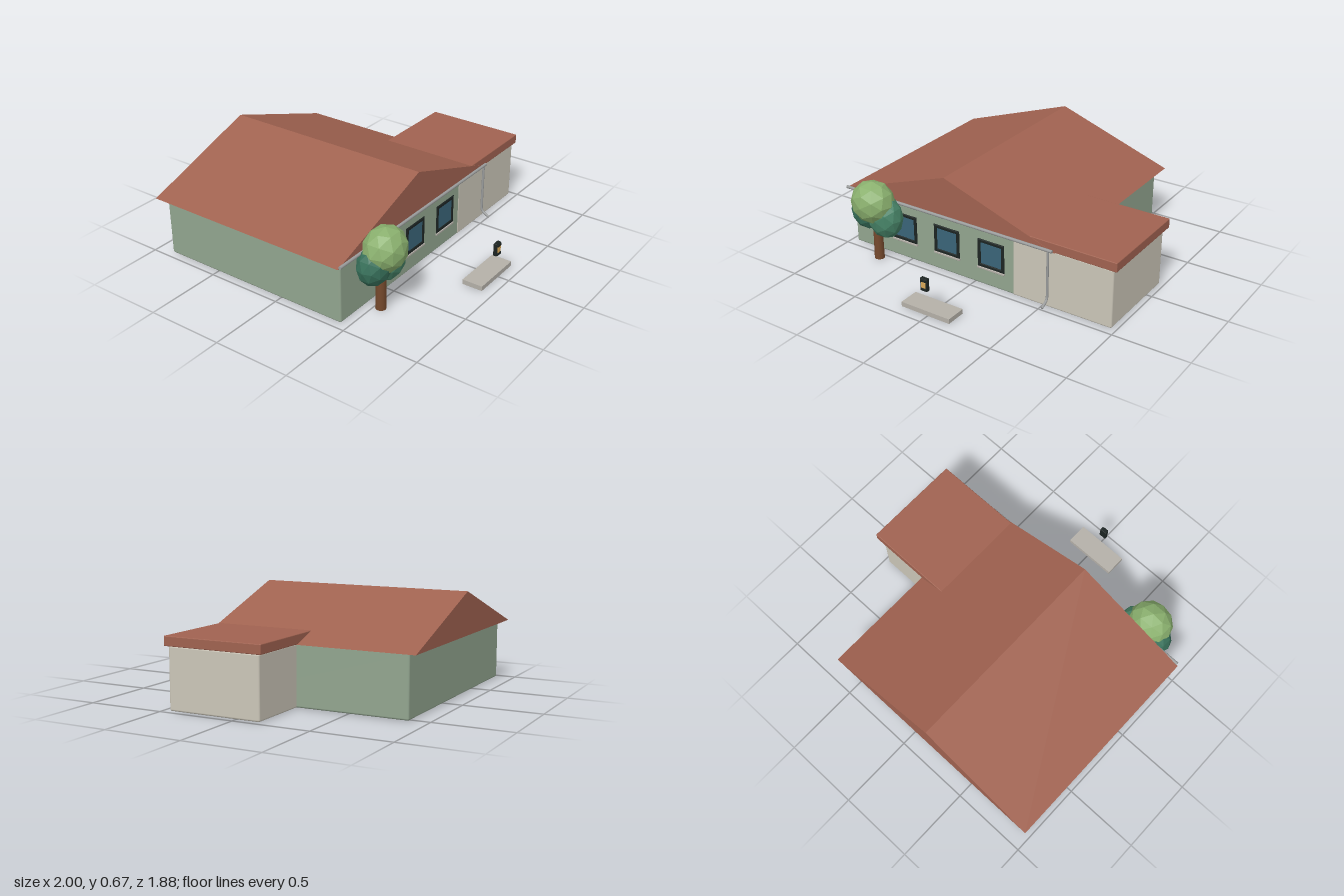
import * as THREE from 'three';
import { RoundedBoxGeometry } from 'three/addons/geometries/RoundedBoxGeometry.js';

const mat = (color, flatShading = false) => new THREE.MeshStandardMaterial({ color, flatShading });
const M = {
  wall: mat(0x92a58f), annex: mat(0xcbc6b8), roof: mat(0xa06250, true), frame: mat(0x1c2422),
  glass: mat(0x3a6478), metal: mat(0x9a9c9c), stone: mat(0xb4b0a8), trunk: mat(0x75492c),
  lamp: mat(0xd9a857), leafLight: mat(0x8ab06e, true), leafMid: mat(0x478468, true), leafDark: mat(0x37705a, true),
};

export function createModel() {
  const house = new THREE.Group();
  house.name = 'house';

  const add = (name, geometry, material, x = 0, y = 0, z = 0, parent = house) => {
    const mesh = new THREE.Mesh(geometry, material);
    mesh.name = name;
    mesh.position.set(x, y, z);
    parent.add(mesh);
    return mesh;
  };
  // Box given by its limits on each axis, with optional rounded edges
  const block = (name, material, [x0, x1], [y0, y1], [z0, z1], r = 0, parent = house) => {
    const size = [x1 - x0, y1 - y0, z1 - z0];
    const g = r ? new RoundedBoxGeometry(...size, 2, r) : new THREE.BoxGeometry(...size);
    return add(name, g, material, (x0 + x1) / 2, (y0 + y1) / 2, (z0 + z1) / 2, parent);
  };

  // Walls
  block('mainWalls', M.wall, [-0.955, 0.545], [0.003, 0.392], [-0.885, 0.449], 0.012);
  block('annexWalls', M.annex, [0.285, 0.97], [0.002, 0.391], [-0.163, 0.452], 0.012);

  // Gabled main roof
  const gable = new THREE.Shape([[-1, 0.39], [0.59, 0.39], [-0.205, 0.665]].map(p => new THREE.Vector2(...p)));
  add('mainRoof', new THREE.ExtrudeGeometry(gable, { depth: 1.41, bevelEnabled: false }), M.roof, 0, 0, -0.942);

  // Flat annex roof
  block('annexRoof', M.roof, [0.26, 0.996], [0.391, 0.452], [-0.19, 0.465], 0.005);

  // Windows: bevelled frame, pane and sill
  const frameShape = new THREE.Shape();
  const rect = (path, w, h) => path.moveTo(-w, -h).lineTo(w, -h).lineTo(w, h).lineTo(-w, h).closePath();
  rect(frameShape, 0.092, 0.09);
  const opening = new THREE.Path();
  rect(opening, 0.08, 0.078);
  frameShape.holes.push(opening);
  const frameGeo = new THREE.ExtrudeGeometry(frameShape, {
    depth: 0.004, bevelThickness: 0.003, bevelSize: 0.005, bevelSegments: 1,
  });
  for (const x of [-0.54, -0.207, 0.127]) {
    const win = new THREE.Group();
    win.name = 'window';
    win.position.set(x, 0.223, 0.449);
    house.add(win);
    add('windowFrame', frameGeo, M.frame, 0, 0, 0.001, win);
    block('windowPane', M.glass, [-0.08, 0.08], [-0.078, 0.078], [-0.004, 0.003], 0, win);
    block('windowSill', M.stone, [-0.1, 0.1], [-0.109, -0.095], [-0.01, 0.011], 0.003, win);
  }

  // Gutter along the front eave
  const gutter = add('gutter', new THREE.CylinderGeometry(0.01, 0.01, 1.565, 12), M.metal, -0.207, 0.4, 0.475);
  gutter.rotation.z = Math.PI / 2;

  // Downpipe with an outward kick at the foot
  const pipe = new THREE.CurvePath();
  const v = (y, z) => new THREE.Vector3(0.548, y, z);
  pipe.add(new THREE.LineCurve3(v(0.4, 0.477), v(0.1, 0.477)));
  pipe.add(new THREE.QuadraticBezierCurve3(v(0.1, 0.477), v(0.068, 0.477), v(0.058, 0.5)));
  pipe.add(new THREE.LineCurve3(v(0.058, 0.5), v(0.039, 0.534)));
  add('downpipe', new THREE.TubeGeometry(pipe, 40, 0.008, 10), M.metal);
  for (const [y, z, turn] of [[0.4, 0.477, -Math.PI / 2], [0.039, 0.534, 0.5]]) {
    add('pipeEnd', new THREE.CircleGeometry(0.008, 10), M.metal, 0.548, y, z).rotation.x = turn;
  }

  // Detached front step and lantern
  block('frontStep', M.stone, [-0.195, 0.157], [0, 0.031], [0.79, 0.926]);
  block('lanternBody', M.frame, [-0.044, 0.006], [0.165, 0.249], [0.904, 0.929], 0.004);
  block('lanternGlass', M.lamp, [-0.035, -0.003], [0.187, 0.227], [0.92, 0.934], 0.003);
  for (const y of [0.178, 0.236]) {
    block('lanternRim', M.frame, [-0.04, 0.002], [y - 0.009, y + 0.009], [0.92, 0.935], 0.003);
  }

  // Tree: trunk and three faceted crowns
  const tree = new THREE.Group();
  tree.name = 'tree';
  house.add(tree);
  add('trunk', new THREE.CylinderGeometry(0.029, 0.033, 0.3, 12), M.trunk, -0.69, 0.15, 0.54, tree);
  const crowns = [
    [M.leafLight, [-0.69, 0.413, 0.57], [0.148, 0.142, 0.13]],
    [M.leafMid, [-0.622, 0.315, 0.54], [0.124, 0.147, 0.1]],
    [M.leafDark, [-0.755, 0.325, 0.54], [0.12, 0.125, 0.1]],
  ];
  for (const [material, p, s] of crowns) {
    add('crown', new THREE.IcosahedronGeometry(1, 1), material, ...p, tree).scale.set(...s);
  }
  return house;
}
